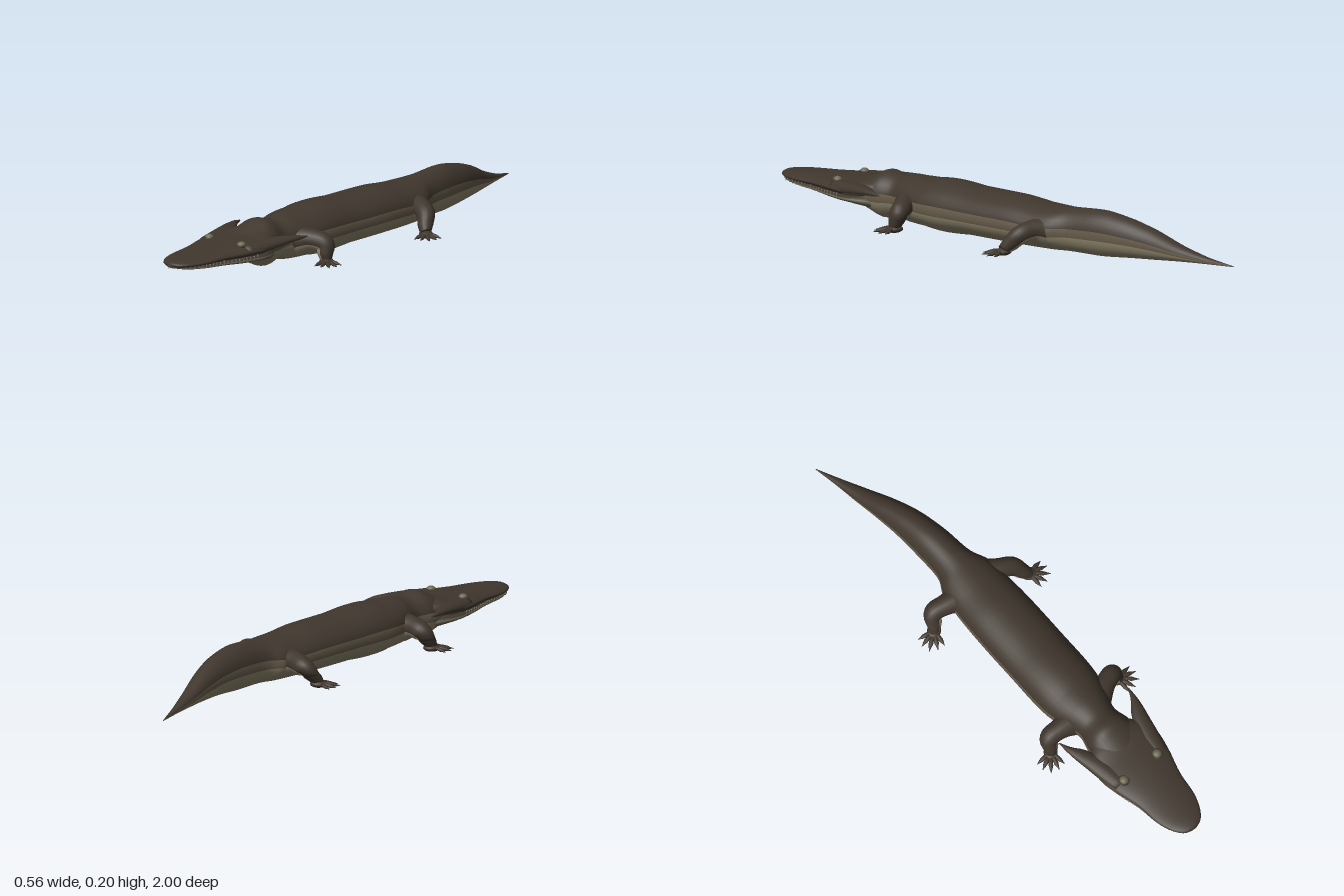
import * as THREE from 'three';

const mat = (name, color) => {
  const m = new THREE.MeshStandardMaterial({ color });
  m.name = name;
  return m;
};
const V = (x, y, z) => new THREE.Vector3(x, y, z);

export function createModel() {
  const root = new THREE.Group();
  const back = mat('darkBack', 0x40372e);
  const flank = mat('flank', 0x665b4a);
  const belly = mat('paleBelly', 0x8f866c);
  const throat = mat('throat', 0x66624e);
  const eyeMat = mat('eye', 0x6c6a52);
  const tooth = mat('tooth', 0x8a836c);

  const add = (name, geo, m, parent = root) => {
    const mesh = new THREE.Mesh(geo, m);
    mesh.name = name;
    parent.add(mesh);
    return mesh;
  };

  // Smooth skin over elliptical rings {c, u, v}; bands are [lowest sine, material], top first
  function loft(name, rings, bands, parent = root, n = 32) {
    const pos = [], buckets = bands.map(() => []);
    const first = rings[0], last = rings[rings.length - 1], zero = V(0, 0, 0);
    const all = [{ c: first.c, u: zero, v: zero }, ...rings, { c: last.c, u: zero, v: zero }];
    all.forEach(({ c, u, v }) => {
      for (let j = 0; j < n; j++) {
        const a = (j / n) * Math.PI * 2;
        const p = c.clone().addScaledVector(u, Math.cos(a)).addScaledVector(v, Math.sin(a));
        pos.push(p.x, p.y, p.z);
      }
    });
    for (let i = 0; i < all.length - 1; i++) {
      for (let j = 0; j < n; j++) {
        const s = Math.sin(((j + 0.5) / n) * Math.PI * 2);
        const k = bands.findIndex(([low]) => s >= low);
        const a = i * n + j, b = i * n + (j + 1) % n;
        buckets[k].push(a, b, a + n, b, b + n, a + n);
      }
    }
    const geo = new THREE.BufferGeometry();
    geo.setAttribute('position', new THREE.Float32BufferAttribute(pos, 3));
    geo.setIndex(buckets.flat());
    let start = 0;
    buckets.forEach((b, k) => { geo.addGroup(start, b.length, k); start += b.length; });
    geo.computeVertexNormals();
    return add(name, geo, bands.map(([, m]) => m), parent);
  }

  // Section rows [z, centre x, half width, bottom y, top y], smoothed along z
  function rows(list, steps) {
    const a = new THREE.CatmullRomCurve3(list.map(r => V(r[0], r[1], r[2])));
    const b = new THREE.CatmullRomCurve3(list.map(r => V(r[3], r[4], 0)));
    return Array.from({ length: steps + 1 }, (_, i) => {
      const p = a.getPoint(i / steps), q = b.getPoint(i / steps);
      return {
        c: V(p.y, (q.x + q.y) / 2, p.x),
        u: V(Math.max(p.z, 0.0005), 0, 0),
        v: V(0, Math.max((q.y - q.x) / 2, 0.0005), 0),
      };
    });
  }

  // Tail, trunk and neck
  loft('body', rows([
    [-1, -0.13, 0.001, 0.023, 0.026], [-0.9, -0.1, 0.016, 0.025, 0.05],
    [-0.8, -0.072, 0.033, 0.025, 0.085], [-0.7, -0.045, 0.048, 0.022, 0.132],
    [-0.6, -0.023, 0.06, 0.018, 0.165], [-0.48, -0.008, 0.07, 0.01, 0.183],
    [-0.36, 0, 0.08, 0.01, 0.176], [-0.3, 0, 0.108, 0.008, 0.172], [-0.22, 0, 0.118, 0.006, 0.173],
    [-0.1, 0, 0.125, 0.004, 0.183], [0.1, 0, 0.126, 0.003, 0.184], [0.3, 0, 0.122, 0.003, 0.184],
    [0.39, 0, 0.1, 0.005, 0.182], [0.45, 0, 0.083, 0.015, 0.172], [0.51, 0, 0.096, 0.003, 0.184],
    [0.56, 0, 0.1, 0.022, 0.166], [0.63, 0, 0.09, 0.055, 0.135],
  ], 90), [[0.15, back], [-0.2, flank], [-2, belly]]);

  // Flat skull above the mouth, wide jaw below
  const head = new THREE.Group();
  head.name = 'head';
  root.add(head);
  loft('skull', rows([
    [0.51, 0, 0.085, 0.08, 0.158], [0.56, 0, 0.122, 0.077, 0.156], [0.62, 0, 0.142, 0.078, 0.143],
    [0.7, 0, 0.13, 0.08, 0.138], [0.8, 0, 0.102, 0.083, 0.13], [0.9, 0, 0.088, 0.086, 0.122],
    [0.96, 0, 0.064, 0.088, 0.118], [0.99, 0, 0.038, 0.092, 0.113], [1, 0, 0.012, 0.098, 0.107],
  ], 40), [[-0.5, back], [-2, throat]], head);
  loft('lowerJaw', rows([
    [0.51, 0, 0.08, 0.03, 0.105], [0.56, 0, 0.115, 0.042, 0.105], [0.62, 0, 0.135, 0.055, 0.102],
    [0.7, 0, 0.124, 0.06, 0.1], [0.8, 0, 0.098, 0.068, 0.098], [0.9, 0, 0.083, 0.077, 0.097],
    [0.96, 0, 0.058, 0.083, 0.098], [0.99, 0, 0.025, 0.089, 0.099],
  ], 40), [[0.1, back], [-2, throat]], head);

  for (const s of [-1, 1]) {
    // Backswept cheek horn
    loft('cheekHorn', rows([
      [0.43, s * 0.167, 0.002, 0.126, 0.13], [0.47, s * 0.156, 0.012, 0.118, 0.138],
      [0.51, s * 0.138, 0.026, 0.112, 0.141], [0.57, s * 0.118, 0.035, 0.098, 0.142],
      [0.63, s * 0.104, 0.038, 0.09, 0.138], [0.7, s * 0.095, 0.03, 0.09, 0.132],
    ], 20), [[-0.5, back], [-2, throat]], head, 16);

    // Raised eye in a dark rim
    const eye = add('eye', new THREE.SphereGeometry(0.017, 20, 14), eyeMat, head);
    eye.position.set(s * 0.08, 0.131, 0.695);
    eye.scale.y = 0.85;
    const rim = add('eyeRim', new THREE.TorusGeometry(0.018, 0.005, 8, 24), back, head);
    rim.rotation.x = Math.PI / 2;
    rim.position.set(s * 0.08, 0.13, 0.695);

    // Small teeth along the mouth edge
    const edge = new THREE.CatmullRomCurve3([
      V(s * 0.13, 0.093, 0.66), V(s * 0.116, 0.093, 0.74), V(s * 0.094, 0.094, 0.82),
      V(s * 0.08, 0.096, 0.91), V(s * 0.056, 0.097, 0.96), V(s * 0.006, 0.098, 0.99),
    ]);
    edge.getSpacedPoints(22).forEach((p, i) => {
      const t = add('tooth', new THREE.ConeGeometry(0.003, i % 3 ? 0.014 : 0.02, 5), tooth, head);
      t.position.copy(p).setY(p.y - 0.006);
      t.rotation.x = Math.PI;
    });
  }

  // Bent leg with a flat foot and fanned toes; heading is the toe angle from +x towards +z
  function leg(name, hip, knee, foot, heading) {
    const g = new THREE.Group();
    g.name = name;
    root.add(g);
    const mid = hip.clone().lerp(knee, 0.5).setY(0.092);
    const path = new THREE.CatmullRomCurve3([hip, mid, knee, foot.clone().lerp(knee, 0.45), foot]);
    const girth = new THREE.CatmullRomCurve3(
      [0.056, 0.04, 0.036, 0.031, 0.021].map((r, i) => V(r, i, 0)));
    const h = knee.clone().sub(hip).setY(0).normalize();
    const side = V(h.z, 0, -h.x);
    const rings = Array.from({ length: 25 }, (_, i) => {
      const t = i / 24, r = girth.getPoint(t).x;
      const v = path.getTangent(t).cross(side).normalize();
      return { c: path.getPoint(t), u: side.clone().multiplyScalar(r), v: v.multiplyScalar(r) };
    });
    loft('limb', rings, [[-0.2, back], [-2, belly]], g, 20);

    const palm = add('palm', new THREE.SphereGeometry(1, 20, 12), back, g);
    palm.scale.set(0.032, 0.014, 0.026);
    palm.position.copy(foot).setY(0.02);
    palm.rotation.y = -heading;
    for (let i = -2; i <= 2; i++) {
      const a = heading + i * 0.42, len = 0.082 - Math.abs(i) * 0.007;
      const d = V(Math.cos(a), 0, Math.sin(a)), w = V(d.z, 0, -d.x);
      const toe = [[0, 0.009, 0.022], [0.45, 0.008, 0.021], [0.65, 0.0085, 0.018], [1, 0.0008, 0.014]];
      loft('toe', toe.map(([t, r, y]) => ({
        c: foot.clone().setY(y).addScaledVector(d, t * len),
        u: w.clone().multiplyScalar(r), v: V(0, r * 0.8, 0),
      })), [[-2, back]], g, 10);
    }
  }
  leg('frontLeftLeg', V(0.07, 0.085, 0.37), V(0.168, 0.08, 0.335), V(0.185, 0.025, 0.345), 0.7);
  leg('frontRightLeg', V(-0.07, 0.085, 0.38), V(-0.17, 0.08, 0.375), V(-0.188, 0.025, 0.405), 2.25);
  leg('hindLeftLeg', V(0.07, 0.085, -0.265), V(0.162, 0.08, -0.225), V(0.204, 0.025, -0.18), 0.68);
  leg('hindRightLeg', V(-0.07, 0.085, -0.255), V(-0.178, 0.08, -0.275), V(-0.207, 0.025, -0.235), 2.5);

  return root;
}
